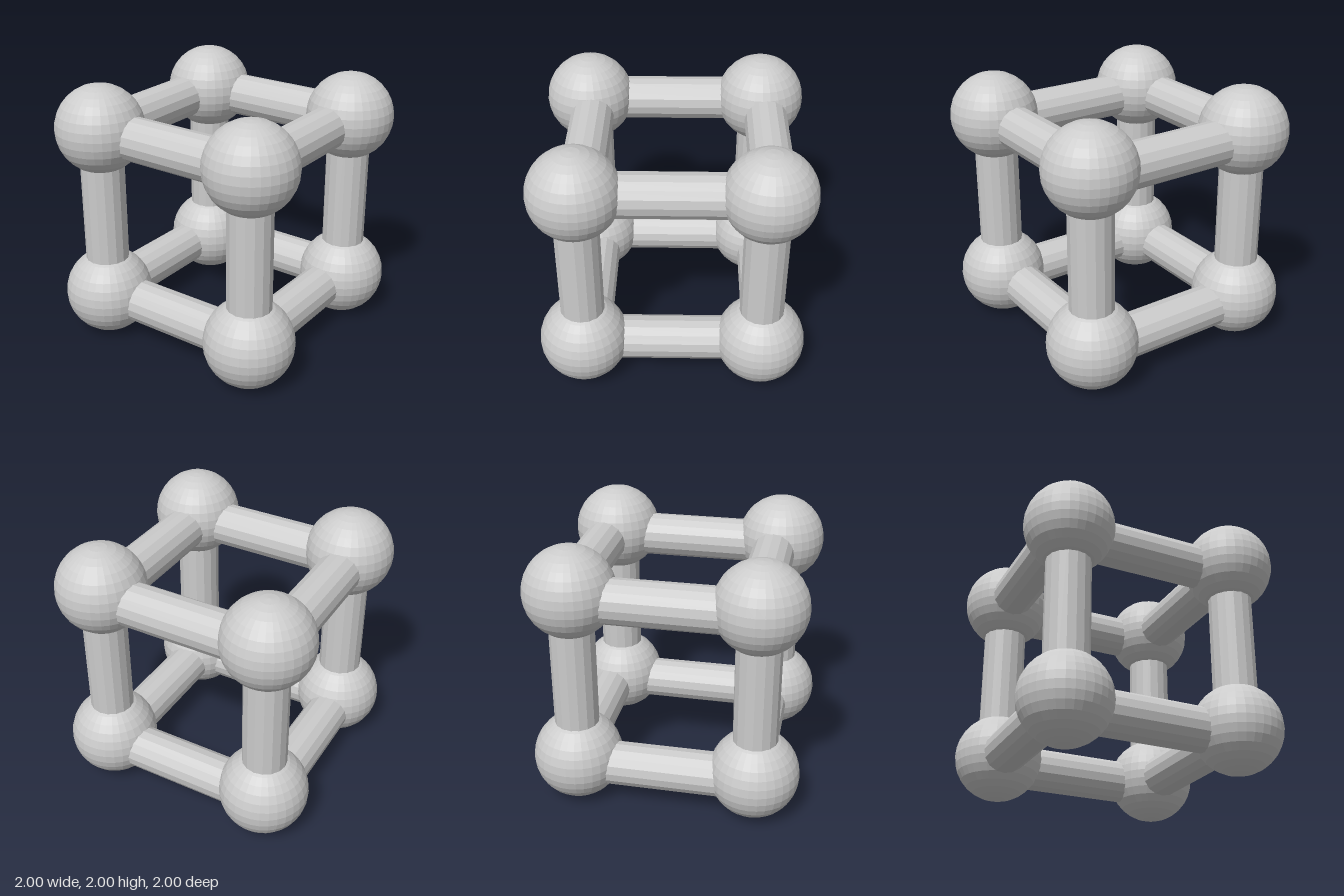
import * as THREE from 'three';

const HALF = 0.667;    // distance of the ball centres from the middle
const BALL_R = 0.333;
const BAR_R = 0.165;
const SHIFT = 0.034;   // horizontal bars sit slightly off the ball centres

export function createModel() {
  const model = new THREE.Group();
  const material = new THREE.MeshStandardMaterial({ color: 0xcccccc, flatShading: true });
  const ballGeometry = new THREE.SphereGeometry(BALL_R, 32, 16);
  const barGeometry = new THREE.CylinderGeometry(BAR_R, BAR_R, 2 * HALF, 16);

  const add = (name, geometry, x, y, z) => {
    const mesh = new THREE.Mesh(geometry, material);
    mesh.name = name;
    mesh.position.set(x, y + 1, z);
    model.add(mesh);
    return mesh;
  };

  for (const a of [-HALF, HALF]) {
    for (const b of [-HALF, HALF]) {
      // Corner balls
      for (const c of [-HALF, HALF]) add('cornerBall', ballGeometry, a, c, b);

      // Upright posts
      add('post', barGeometry, a, 0, b);

      // Bars running left to right
      add('crossBar', barGeometry, 0, a - SHIFT, b - SHIFT).rotation.z = Math.PI / 2;

      // Bars running front to back
      add('sideBar', barGeometry, b + SHIFT, a - SHIFT, 0).rotation.x = Math.PI / 2;
    }
  }
  return model;
}
